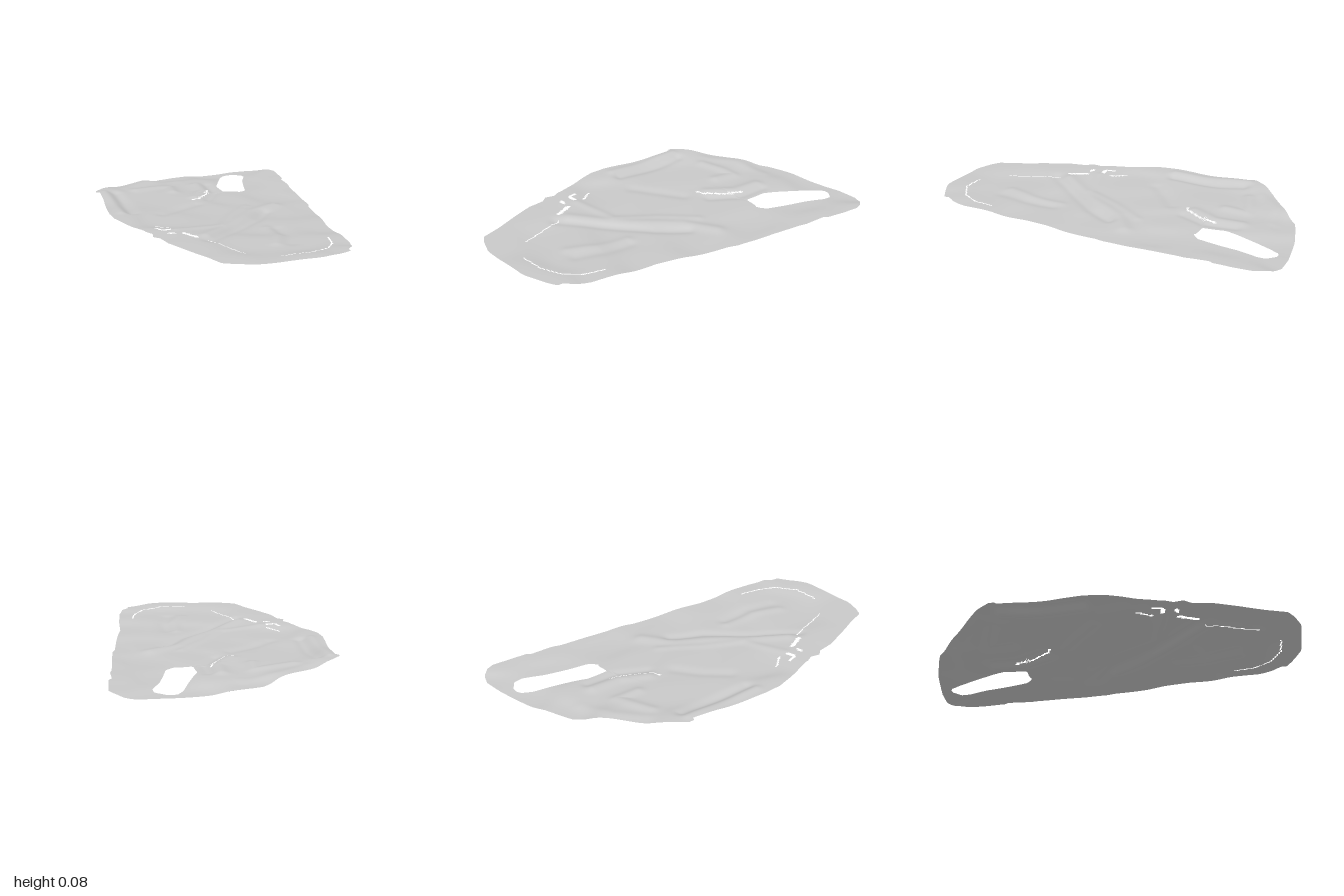
import * as THREE from 'three';
import { mergeVertices } from 'three/addons/utils/BufferGeometryUtils.js';

// Piecewise-linear curve through [z, x] pairs
const along = (pts) => (z) => {
  if (z <= pts[0][0]) return pts[0][1];
  for (let i = 1; i < pts.length; i++) {
    const [z0, x0] = pts[i - 1], [z1, x1] = pts[i];
    if (z <= z1) return x0 + (x1 - x0) * (z - z0) / (z1 - z0);
  }
  return pts[pts.length - 1][1];
};

// Sheet outline, left-hand and right-hand edges in the plan
const edgeMinX = along([[-1, 0.2], [-0.985, 0.05], [-0.97, -0.05], [-0.93, -0.12], [-0.86, -0.26],
  [-0.8, -0.4], [-0.74, -0.5], [-0.68, -0.57], [-0.65, -0.577], [-0.64, -0.56], [-0.5, -0.59],
  [-0.3, -0.645], [-0.2, -0.67], [-0.1, -0.68], [0, -0.665], [0.19, -0.625], [0.21, -0.627],
  [0.26, -0.61], [0.31, -0.63], [0.35, -0.605], [0.45, -0.605], [0.6, -0.57], [0.75, -0.53],
  [0.86, -0.51], [0.9, -0.46], [0.95, -0.37], [0.97, -0.25], [0.985, -0.15], [1, -0.06]]);
const edgeMaxX = along([[-1, 0.45], [-0.985, 0.57], [-0.95, 0.63], [-0.9, 0.665], [-0.85, 0.677],
  [-0.75, 0.655], [-0.65, 0.63], [-0.63, 0.61], [-0.5, 0.59], [-0.45, 0.57], [-0.2, 0.51],
  [-0.05, 0.475], [0, 0.45], [0.2, 0.395], [0.35, 0.345], [0.42, 0.32], [0.6, 0.285],
  [0.8, 0.235], [0.88, 0.2], [0.92, 0.155], [0.95, 0.15], [0.97, 0.09], [0.99, 0.02], [1, -0.03]]);

// A seam divides the sheet into two panels and opens up into the long handle hole
const seam = along([[-1, 0.38], [-0.936, 0.39], [-0.486, 0.25], [0.9, 0], [1, -0.045]]);
const holeMinX = along([[-0.936, 0.36], [-0.89, 0.32], [-0.79, 0.265], [-0.635, 0.175],
  [-0.51, 0.16], [-0.505, 0.165], [-0.498, 0.21], [-0.486, 0.25]]);
const holeMaxX = along([[-0.936, 0.42], [-0.89, 0.465], [-0.84, 0.46], [-0.74, 0.4],
  [-0.61, 0.345], [-0.51, 0.305], [-0.486, 0.27]]);

// Broad heights [x, z, y]: rim first, then the inner basin
const LEVELS = [[-0.67, -0.1, 0.076], [-0.62, 0.25, 0.077], [-0.57, 0.55, 0.079], [-0.5, 0.86, 0.08],
  [-0.05, 1, 0.084], [0.15, 0.93, 0.076], [0.24, 0.78, 0.063], [0.32, 0.42, 0.044], [0.45, 0, 0.026],
  [0.53, -0.3, 0.025], [0.61, -0.62, 0.027], [0.675, -0.85, 0.025], [0.55, -0.99, 0.006],
  [0.3, -1, 0.002], [0, -0.98, 0.018], [-0.26, -0.86, 0.05], [-0.57, -0.67, 0.076],
  [-0.3, -0.5, 0.05], [-0.1, -0.2, 0.045], [0.1, -0.3, 0.034], [0, 0.3, 0.042], [0, 0.7, 0.06],
  [-0.2, 0.6, 0.06], [0.25, 0, 0.03], [0.38, -0.7, 0.014], [0.1, -0.75, 0.035],
  [-0.45, 0, 0.055], [0.4, -0.3, 0.016]];

// Distance from a point to a polyline of [x, z] points
function distance(x, z, line) {
  let best = Infinity;
  for (let i = 1; i < line.length; i++) {
    const [ax, az] = line[i - 1], dx = line[i][0] - ax, dz = line[i][1] - az;
    const t = THREE.MathUtils.clamp(((x - ax) * dx + (z - az) * dz) / (dx * dx + dz * dz), 0, 1);
    best = Math.min(best, Math.hypot(x - ax - t * dx, z - az - t * dz));
  }
  return best;
}

// Soft creases and bulges: path, half width, height
const FOLDS = [
  { line: [[-0.36, 0.38], [-0.1, 0.17], [0.1, -0.03], [0.28, -0.11]], width: 0.045, height: 0.012 },
  { line: [[-0.38, 0.46], [-0.15, 0.28], [0.05, 0.14], [0.17, 0.0]], width: 0.035, height: -0.01 },
  { line: [[-0.46, 0.22], [-0.2, 0.2], [-0.05, 0.02], [0.12, -0.14]], width: 0.03, height: 0.006 },
  { line: [[0.02, 0.32], [-0.02, 0.5], [-0.1, 0.64]], width: 0.035, height: 0.007 },
  { line: [[0.06, 0.35], [0.04, 0.52], [-0.02, 0.66]], width: 0.04, height: -0.007 },
  { line: [[-0.47, -0.62], [-0.49, -0.45], [-0.54, -0.2]], width: 0.035, height: -0.014 },
  { line: [[-0.53, -0.64], [-0.56, -0.42], [-0.6, -0.2]], width: 0.03, height: 0.008 },
  { line: [[0.07, -0.7], [0.04, -0.55], [-0.06, -0.42]], width: 0.04, height: 0.012 },
  { line: [[0.13, -0.68], [0.1, -0.5], [0, -0.37]], width: 0.03, height: -0.008 },
  { line: [[-0.32, -0.68], [-0.18, -0.7], [-0.1, -0.7], [-0.13, -0.58]], width: 0.035, height: 0.01 },
  { line: [[-0.38, -0.14], [-0.25, -0.22], [-0.12, -0.28]], width: 0.04, height: -0.008 },
  { line: [[-0.36, -0.75], [-0.2, -0.84], [0, -0.86]], width: 0.04, height: 0.006 },
];

function heightAt(x, z) {
  let sum = 0, total = 0;
  for (const [px, pz, py] of LEVELS) {
    const w = 1 / ((x - px) ** 2 + (z - pz) ** 2 + 0.006) ** 2;
    sum += w * py;
    total += w;
  }
  let y = sum / total;
  for (const f of FOLDS) y += f.height * Math.exp(-((distance(x, z, f.line) / f.width) ** 2));
  return Math.max(y, 0);
}

// Narrow tears in the sheet: path and half width
const TEARS = [
  { line: [[-0.455, 0.3], [-0.425, 0.4]], width: 0.011 },
  { line: [[-0.53, 0.21], [-0.495, 0.21]], width: 0.012 },
  { line: [[-0.548, 0.16], [-0.54, 0.2]], width: 0.009 },
  { line: [[-0.53, 0.28], [-0.5, 0.29]], width: 0.01 },
  { line: [[-0.52, 0.08], [-0.475, 0.16]], width: 0.005 },
  { line: [[-0.38, 0.44], [-0.325, 0.73]], width: 0.003 },
  { line: [[-0.19, 0.87], [-0.04, 0.89], [0.08, 0.85], [0.15, 0.77], [0.19, 0.66]], width: 0.004 },
  { line: [[-0.1, -0.375], [-0.06, -0.38], [0.03, -0.47], [0.08, -0.56]], width: 0.005 },
];
const isTorn = (x, z) => TEARS.some((t) => distance(x, z, t.line) < t.width);

function sheetGeometry() {
  const rows = 250, panels = [100, 50];
  const positions = [], indices = [];
  panels.forEach((cols, panel) => {
    const first = positions.length / 3;
    for (let r = 0; r <= rows; r++) {
      const z = -1 + 2 * r / rows;
      const open = z > -0.936 && z < -0.486;
      const from = panel === 0 ? edgeMinX(z) : open ? holeMaxX(z) : seam(z);
      const to = panel === 1 ? edgeMaxX(z) : open ? holeMinX(z) : seam(z);
      for (let c = 0; c <= cols; c++) {
        const x = from + (to - from) * c / cols;
        positions.push(x, heightAt(x, z), z);
      }
    }
    for (let r = 0; r < rows; r++) for (let c = 0; c < cols; c++) {
      const a = first + r * (cols + 1) + c, b = a + 1, d = a + cols + 1, e = d + 1;
      const x = (positions[a * 3] + positions[e * 3]) / 2;
      const z = (positions[a * 3 + 2] + positions[e * 3 + 2]) / 2;
      if (!isTorn(x, z)) indices.push(a, d, b, b, d, e);
    }
  });
  const geometry = new THREE.BufferGeometry();
  geometry.setAttribute('position', new THREE.Float32BufferAttribute(positions, 3));
  geometry.setIndex(indices);
  const merged = mergeVertices(geometry, 1e-5);
  merged.computeVertexNormals();
  return merged;
}

export function createModel() {
  const group = new THREE.Group();
  group.name = 'thinPanel';
  const grey = new THREE.MeshStandardMaterial({ color: 0xc8c8c8, side: THREE.DoubleSide });
  grey.name = 'lightGrey';
  const sheet = new THREE.Mesh(sheetGeometry(), grey);
  sheet.name = 'mouldedSheet';
  group.add(sheet);
  return group;
}
